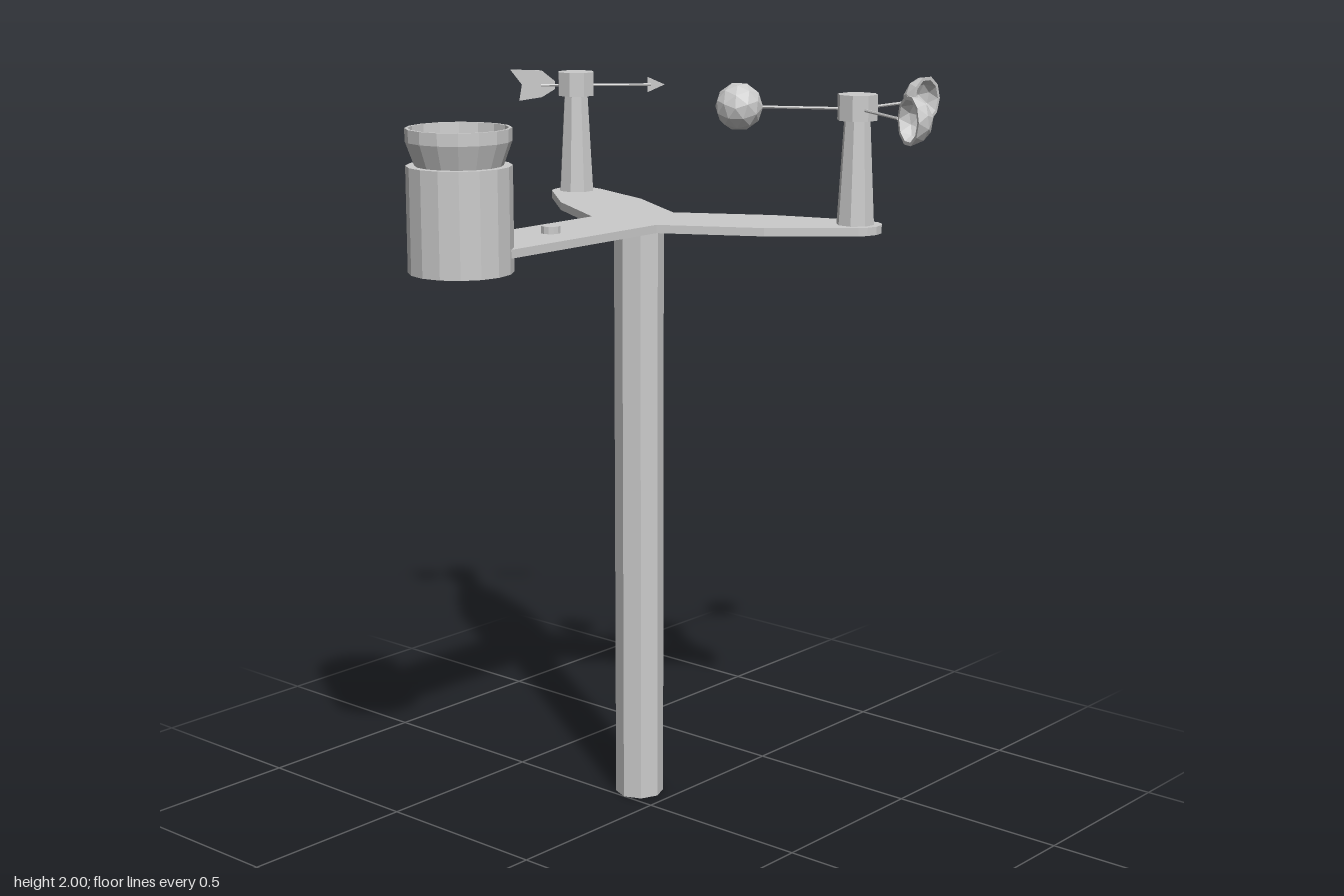
import * as THREE from 'three';

const material = new THREE.MeshStandardMaterial({ color: 0xcccccc, flatShading: true, side: THREE.DoubleSide });

const CX = -0.1;          // mirror line of the plate and pole
const ARM_X = 0.5;        // sideways reach of each arm
const ARM_Z = -0.36;
const PLATE_BOTTOM = 1.613, PLATE_TOP = 1.635;
const ROD_Y = 1.937;

function add(parent, name, geometry, x = 0, y = 0, z = 0) {
  const mesh = new THREE.Mesh(geometry, material);
  mesh.name = name;
  mesh.position.set(x, y, z);
  parent.add(mesh);
  return mesh;
}

// Cylinder standing between two heights
function column(parent, name, rTop, rBottom, y0, y1, sides, x, z, turn = 0) {
  const g = new THREE.CylinderGeometry(rTop, rBottom, y1 - y0, sides).rotateY(turn);
  return add(parent, name, g, x, (y0 + y1) / 2, z);
}

// Thin horizontal rod along local x
function rod(parent, name, x0, x1) {
  const g = new THREE.CylinderGeometry(0.004, 0.004, x1 - x0, 6).rotateZ(Math.PI / 2);
  return add(parent, name, g, (x0 + x1) / 2, 0, 0);
}

// Thin upright sheet in the local xy plane
function sheet(parent, name, points) {
  const shape = new THREE.Shape(points.map(p => new THREE.Vector2(...p)));
  const g = new THREE.ExtrudeGeometry(shape, { depth: 0.004, bevelEnabled: false });
  return add(parent, name, g.translate(0, 0, -0.002));
}

// Half of a subdivided icosahedron, dome toward +y
function dome(radius) {
  const src = new THREE.IcosahedronGeometry(radius, 1);
  src.rotateX(-Math.atan((1 + Math.sqrt(5)) / 2));
  const p = src.attributes.position, kept = [];
  for (let i = 0; i < p.count; i += 3) {
    if (p.getY(i) + p.getY(i + 1) + p.getY(i + 2) < 1e-4) continue;
    for (let j = i; j < i + 3; j++) kept.push(p.getX(j), p.getY(j), p.getZ(j));
  }
  const g = new THREE.BufferGeometry();
  g.setAttribute('position', new THREE.Float32BufferAttribute(kept, 3));
  g.computeVertexNormals();
  return g;
}

// Three-armed mounting plate: half outline (dx from mirror line, z), then mirrored
function buildPlate(parent) {
  const half = [
    [0.115, 0.6], [0.115, -0.005], [0.363, -0.147], [0.55, -0.308], [0.563, -0.33],
    [0.57, -0.36], [0.563, -0.392], [0.548, -0.413], [0.527, -0.426], [0.5, -0.43],
    [0.465, -0.425], [0.24, -0.347],
  ];
  const outline = [
    ...half,
    [0, -0.206],
    ...half.slice().reverse().map(([x, z]) => [-x, z]),
  ];
  const shape = new THREE.Shape(outline.map(([x, z]) => new THREE.Vector2(x, -z)));
  const g = new THREE.ExtrudeGeometry(shape, { depth: PLATE_TOP - PLATE_BOTTOM, bevelEnabled: false });
  add(parent, 'mountingPlate', g.rotateX(-Math.PI / 2), CX, PLATE_BOTTOM, 0);
}

// Tapered post with an octagonal head
function buildPost(parent, name, x) {
  column(parent, name + 'Post', 0.035, 0.051, PLATE_TOP - 0.005, 1.912, 8, x, ARM_Z, Math.PI / 8);
  column(parent, name + 'Head', 0.054, 0.054, 1.908, 1.975, 8, x, ARM_Z, Math.PI / 8);
}

// Rain gauge: drum with a flared collector on top
function buildRainGauge(parent) {
  const profile = [
    [0, 1.575], [0.132, 1.575], [0.132, 1.84], [0.11, 1.84], [0.132, 1.9],
    [0.132, 1.932], [0.124, 1.932], [0.122, 1.9], [0.102, 1.845], [0, 1.845],
  ].map(p => new THREE.Vector2(...p));
  add(parent, 'rainGauge', new THREE.LatheGeometry(profile, 16), CX, 0, 0.6);
}

// Wind vane: arrow and tail fin turned toward the back left
function buildVane(parent) {
  const vane = new THREE.Group();
  vane.name = 'windVane';
  vane.position.set(CX - ARM_X, ROD_Y, ARM_Z);
  vane.rotation.y = Math.PI / 4;
  rod(vane, 'vaneRod', -0.1, 0.215);
  sheet(vane, 'arrowHead', [[0.205, -0.022], [0.255, 0], [0.205, 0.022]]);
  sheet(vane, 'tailFin', [
    [-0.06, -0.011], [-0.06, 0.011], [-0.098, 0.042], [-0.188, 0.045],
    [-0.155, 0.002], [-0.163, -0.044], [-0.098, -0.034],
  ]);
  parent.add(vane);
}

// Anemometer: three hollow cups on rods
function buildCups(parent) {
  const R = 0.0635, INNER = 0.054;
  for (let i = 0; i < 3; i++) {
    const arm = new THREE.Group();
    arm.name = 'cupArm' + (i + 1);
    arm.position.set(CX + ARM_X, ROD_Y, ARM_Z);
    arm.rotation.y = Math.PI / 2 + i * Math.PI * 2 / 3;
    rod(arm, 'cupRod', 0.03, 0.252);
    const cup = new THREE.Group();
    cup.name = 'cup';
    cup.position.x = 0.312;
    cup.rotation.x = -Math.PI / 2;
    add(cup, 'cupShell', dome(R));
    add(cup, 'cupInside', dome(INNER));
    add(cup, 'cupRim', new THREE.RingGeometry(INNER, R, 10).rotateX(Math.PI / 2));
    arm.add(cup);
    parent.add(arm);
  }
}

export function createModel() {
  const model = new THREE.Group();
  model.name = 'weatherStation';

  column(model, 'pole', 0.067, 0.067, 0, PLATE_BOTTOM + 0.005, 8, CX, -0.066);
  buildPlate(model);
  column(model, 'levelButton', 0.026, 0.026, PLATE_TOP - 0.005, 1.654, 12, CX, 0.276);
  buildRainGauge(model);
  buildPost(model, 'vane', CX - ARM_X);
  buildPost(model, 'anemometer', CX + ARM_X);
  buildVane(model);
  buildCups(model);

  return model;
}
